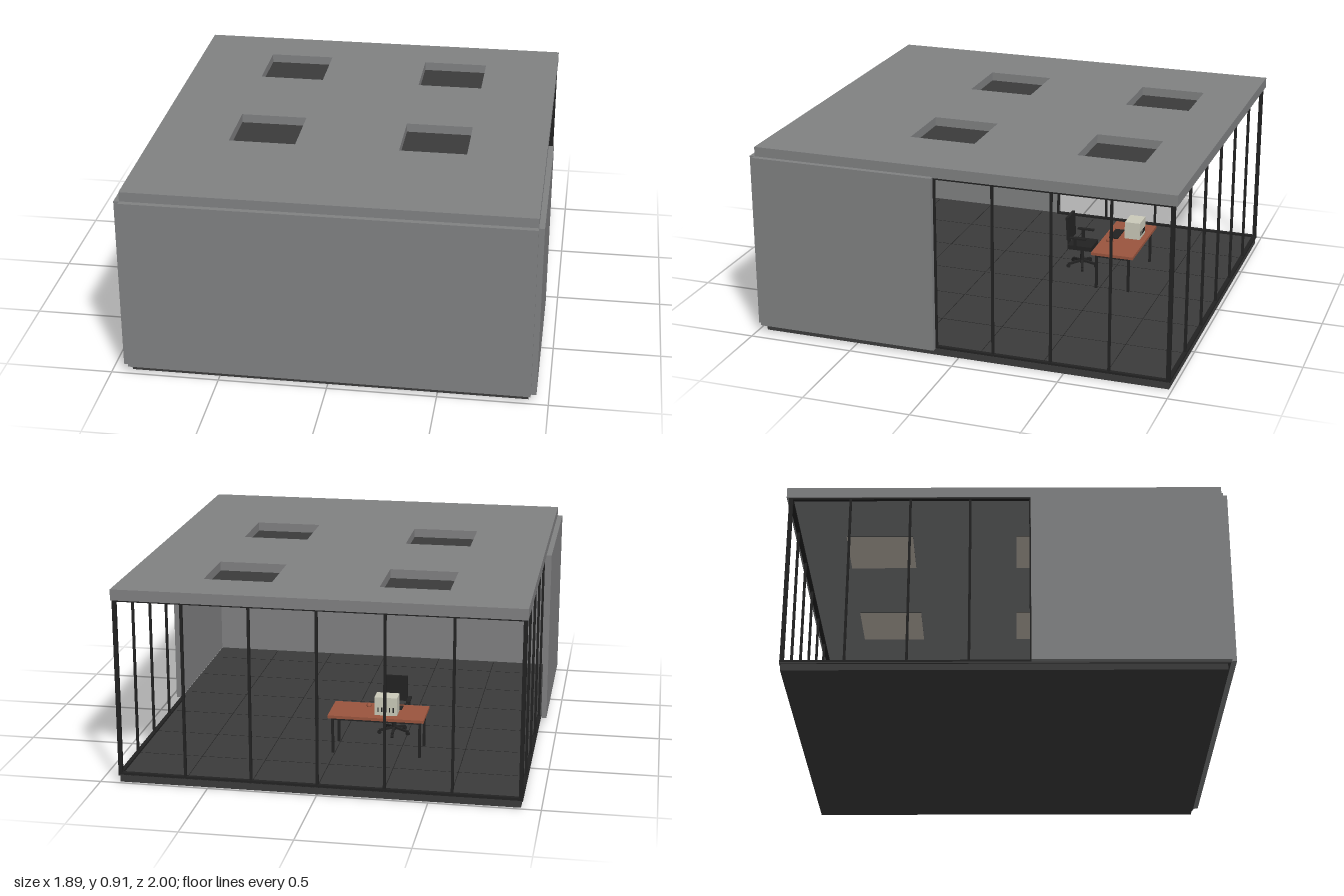
import * as THREE from 'three';

const mat = (name, color, side = THREE.FrontSide) => {
  const m = new THREE.MeshStandardMaterial({ color, side });
  m.name = name;
  return m;
};

export function createModel() {
  const grey = mat('concrete grey', 0x808182);
  const dark = mat('dark floor grey', 0x3b3b3b);
  const black = mat('frame black', 0x222222);
  const cream = mat('cream panel', 0xc4bcb0);
  const wood = mat('red wood', 0x9a553e);
  const beige = mat('computer beige', 0xcac9b9);

  const model = new THREE.Group();
  model.name = 'pavilion';

  const add = (parent, name, geometry, material) => {
    const mesh = new THREE.Mesh(geometry, material);
    mesh.name = name;
    parent.add(mesh);
    return mesh;
  };
  // Box given by its minimum and maximum on each axis
  const box = (parent, name, material, x0, x1, y0, y1, z0, z1) => {
    const mesh = add(parent, name, new THREE.BoxGeometry(x1 - x0, y1 - y0, z1 - z0), material);
    mesh.position.set((x0 + x1) / 2, (y0 + y1) / 2, (z0 + z1) / 2);
    return mesh;
  };
  const group = (name) => {
    const g = new THREE.Group();
    g.name = name;
    model.add(g);
    return g;
  };

  // Plinth and floor slab
  box(model, 'plinth', dark, -0.91, 0.91, 0, 0.03, -0.985, 0.962);
  box(model, 'floor', dark, -0.918, 0.918, 0.03, 0.036, -0.99, 0.975);
  const seams = group('floorSeams');
  for (const x of [-0.6, -0.3, 0, 0.3, 0.6])
    box(seams, 'floorSeam', black, x - 0.0015, x + 0.0015, 0.036, 0.0365, -0.97, 0.97);
  for (const z of [-0.7, -0.4, -0.1, 0.2, 0.5, 0.8])
    box(seams, 'floorSeam', black, -0.9, 0.9, 0.036, 0.0365, z - 0.0015, z + 0.0015);

  // Solid walls
  box(model, 'frontWall', grey, -0.92, 0.92, 0.035, 0.865, 0.975, 1);
  for (const s of [-1, 1]) {
    const wall = box(model, 'sideWall', grey, -0.0125, 0.0125, 0.035, 0.865, 0.108, 0.978);
    wall.position.x = s * 0.9325;
  }

  // Roof slab with four skylight openings
  const roofShape = new THREE.Shape([
    new THREE.Vector2(-0.92, -0.975), new THREE.Vector2(0.92, -0.975),
    new THREE.Vector2(0.92, 1), new THREE.Vector2(-0.92, 1),
  ]);
  const skylights = group('skylights');
  for (const x of [-0.4, 0.4]) {
    for (const z of [-0.602, 0.202]) {
      const r = 0.157;
      roofShape.holes.push(new THREE.Path([
        new THREE.Vector2(x - r, -z - r), new THREE.Vector2(x - r, -z + r),
        new THREE.Vector2(x + r, -z + r), new THREE.Vector2(x + r, -z - r),
      ]));
      box(skylights, 'skylightTop', dark, x - r, x + r, 0.862, 0.868, z - r, z + r);
      const panel = add(skylights, 'ceilingPanel', new THREE.PlaneGeometry(2 * r, 2 * r), cream);
      panel.rotation.x = Math.PI / 2;
      panel.position.set(x, 0.857, z);
    }
  }
  const roof = add(model, 'roof',
    new THREE.ExtrudeGeometry(roofShape, { depth: 0.05, bevelEnabled: false }), grey);
  roof.rotation.x = -Math.PI / 2;
  roof.position.y = 0.86;

  // Window frames: back has six bays, each side has four
  const frames = group('windowFrames');
  const post = (x, z, w) =>
    box(frames, 'mullion', black, x - w / 2, x + w / 2, 0.036, 0.86, z - w / 2, z + w / 2);
  for (let i = 0; i <= 6; i++) post(-0.908 + i * 0.30267, -0.98, i % 6 ? 0.012 : 0.018);
  for (const [y0, y1] of [[0.034, 0.046], [0.852, 0.862]]) {
    box(frames, 'backRail', black, -0.917, 0.917, y0, y1, -0.99, -0.97);
    for (const s of [-1, 1])
      box(frames, 'sideRail', black, s * 0.908 - 0.009, s * 0.908 + 0.009, y0, y1, -0.97, 0.112);
  }
  for (const s of [-1, 1])
    for (let i = 0; i < 4; i++) post(s * 0.908, 0.107 - i * 0.272, 0.011);

  // Desk
  const desk = group('desk');
  box(desk, 'deskTop', wood, -0.42, 0.03, 0.213, 0.227, -0.57, -0.36);
  for (const x of [-0.4, 0.01]) {
    for (const z of [-0.545, -0.383])
      box(desk, 'deskLeg', black, x - 0.006, x + 0.006, 0.036, 0.213, z - 0.006, z + 0.006);
    box(desk, 'deskBrace', black, x - 0.005, x + 0.005, 0.2, 0.213, -0.545, -0.383);
  }
  box(desk, 'deskRail', black, -0.4, 0.01, 0.2, 0.213, -0.549, -0.541);

  // Computer: monitor with dark screen and rear vents, keyboard and mouse
  const computer = group('computer');
  box(computer, 'monitorFoot', beige, -0.27, -0.21, 0.227, 0.234, -0.53, -0.485);
  box(computer, 'monitor', beige, -0.293, -0.187, 0.234, 0.32, -0.545, -0.468);
  box(computer, 'screen', black, -0.282, -0.198, 0.246, 0.31, -0.469, -0.466);
  for (let i = 0; i < 5; i++) {
    const x = -0.276 + i * 0.018;
    box(computer, 'vent', black, x - 0.003, x + 0.003, 0.25, 0.272, -0.547, -0.544);
  }
  box(computer, 'keyboard', black, -0.3, -0.18, 0.227, 0.233, -0.435, -0.39);
  const mouse = add(computer, 'mouse', new THREE.SphereGeometry(0.018, 12, 8), wood);
  mouse.scale.set(0.7, 0.7, 1.1);
  mouse.position.set(-0.14, 0.23, -0.405);

  // Swivel chair facing the desk
  const chair = group('chair');
  chair.position.set(-0.235, 0, -0.235);
  box(chair, 'seat', black, -0.062, 0.062, 0.143, 0.165, -0.065, 0.06);
  box(chair, 'seatMount', black, -0.03, 0.03, 0.132, 0.143, -0.03, 0.03);
  const column = add(chair, 'column', new THREE.CylinderGeometry(0.009, 0.012, 0.085, 10), black);
  column.position.y = 0.098;
  for (let i = 0; i < 5; i++) {
    const leg = new THREE.Group();
    leg.name = 'chairLeg';
    leg.rotation.y = i * Math.PI * 0.4 + Math.PI / 2;
    const spoke = box(leg, 'spoke', black, 0, 0.075, 0.056, 0.066, -0.006, 0.006);
    spoke.rotation.z = -0.18;
    const caster = add(leg, 'caster', new THREE.CylinderGeometry(0.009, 0.009, 0.012, 10), black);
    caster.rotation.x = Math.PI / 2;
    caster.position.set(0.073, 0.045, 0);
    chair.add(leg);
  }
  box(chair, 'backSupport', black, -0.012, 0.012, 0.14, 0.24, 0.064, 0.074);
  const back = box(chair, 'backrest', black, -0.055, 0.055, 0.185, 0.308, 0.054, 0.069);
  back.rotation.x = 0.06;
  for (const s of [-1, 1]) {
    const x = s * 0.07;
    box(chair, 'armrest', black, x - 0.009, x + 0.009, 0.205, 0.213, -0.04, 0.045);
    box(chair, 'armPost', black, x - 0.005, x + 0.005, 0.15, 0.206, 0.01, 0.024);
  }
  return model;
}
